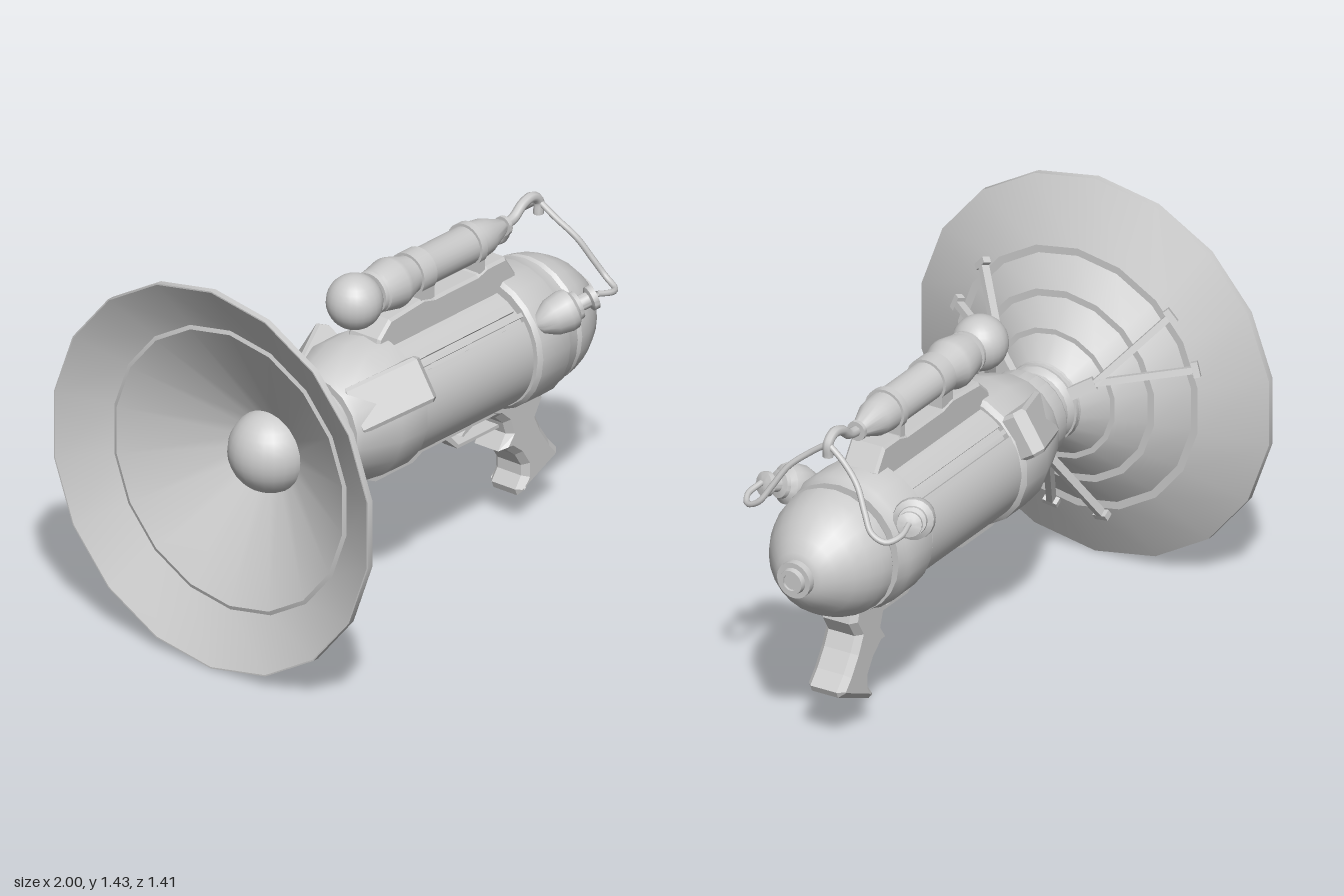
import * as THREE from 'three';
import { toCreasedNormals } from 'three/addons/utils/BufferGeometryUtils.js';

const AXIS = 0.717; // height of the main axis
const RAD = Math.PI / 180;
const mat = new THREE.MeshStandardMaterial({ color: 0xcccccc, side: THREE.DoubleSide });
const V = (x, y, z) => new THREE.Vector3(x, y, z);

function add(parent, name, geometry) {
  const mesh = new THREE.Mesh(geometry, mat);
  mesh.name = name;
  parent.add(mesh);
  return mesh;
}

// Solid of revolution about x; profile points are [x, radius]
function turned(profile, sides = 24, crease = 0.6) {
  const pts = profile.map(([x, r]) => new THREE.Vector2(r, x));
  const g = new THREE.LatheGeometry(pts, sides, Math.PI / 2).rotateZ(-Math.PI / 2);
  return toCreasedNormals(g, crease);
}

// Side outline in x and y, given a width across z and chamfered edges
function slab(points, width, bevel = 0) {
  const shape = new THREE.Shape(points.map(([x, y]) => new THREE.Vector2(x, y)));
  const depth = width - 2 * bevel;
  return new THREE.ExtrudeGeometry(shape, {
    depth, bevelEnabled: bevel > 0, bevelThickness: bevel, bevelSize: bevel, bevelOffset: -bevel, bevelSegments: 1,
  }).translate(0, 0, -depth / 2);
}

function hose(points, radius, segments = 40) {
  return new THREE.TubeGeometry(new THREE.CatmullRomCurve3(points), segments, radius, 8);
}

// Curved strip along x, between two angles measured from +z upwards
function arcStrip(from, to, inner, outer, length) {
  const s = new THREE.Shape();
  s.absarc(0, 0, outer, from * RAD, to * RAD, false);
  s.absarc(0, 0, inner, to * RAD, from * RAD, true);
  const g = new THREE.ExtrudeGeometry(s, { depth: length, bevelEnabled: false, curveSegments: 8 });
  return toCreasedNormals(g.rotateY(Math.PI / 2), 0.6);
}

// Bar with a square section between two points
function bar(a, b, width, height, up) {
  const g = new THREE.BoxGeometry(width, height, a.distanceTo(b));
  const z = b.clone().sub(a).normalize();
  const x = up.clone().cross(z).normalize();
  const m = new THREE.Matrix4().makeBasis(x, z.clone().cross(x), z);
  return g.applyMatrix4(m.setPosition(a.clone().add(b).multiplyScalar(0.5)));
}

function buildDish() {
  const dish = new THREE.Group();
  dish.name = 'dish';
  // Stepped outside, then back along the hollow inside
  add(dish, 'dishShell', turned([
    [-1, 0.712], [-1, 0.717], [-0.975, 0.717], [-0.862, 0.495], [-0.862, 0.467], [-0.787, 0.362], [-0.787, 0.336],
    [-0.717, 0.245], [-0.717, 0.225], [-0.635, 0.13], [-0.635, 0],
    [-0.67, 0], [-0.68, 0.12], [-0.9, 0.515], [-0.895, 0.53], [-1, 0.712],
  ], 18, 0.4));
  add(dish, 'emitterBall', new THREE.SphereGeometry(0.15, 24, 16).translate(-0.68, 0, 0));
  // Three forked struts on the back of the dish
  for (const centre of [30, 150, 270]) {
    const dir = V(0, Math.sin(centre * RAD), Math.cos(centre * RAD));
    const across = V(0, dir.z, -dir.y);
    const up = dir.clone().multiplyScalar(0.5).setX(0.85);
    const at = (x, r, offset) => V(x, 0, 0).addScaledVector(dir, r).addScaledVector(across, offset);
    const fork = at(-0.67, 0.22, 0);
    add(dish, 'strutStem', bar(at(-0.625, 0.135, 0), fork, 0.045, 0.03, up));
    for (const side of [-1, 1]) {
      const end = at(-0.85, 0.49, side * 0.1);
      add(dish, 'dishStrut', bar(fork, end, 0.024, 0.03, up));
      add(dish, 'strutFoot', bar(end, at(-0.862, 0.51, side * 0.105), 0.055, 0.03, up));
    }
  }
  return dish;
}

function buildBody() {
  const body = new THREE.Group();
  body.name = 'body';
  add(body, 'neck', turned([
    [-0.645, 0], [-0.645, 0.145], [-0.625, 0.145], [-0.62, 0.125], [-0.545, 0.125], [-0.545, 0.155],
    [-0.53, 0.165], [-0.44, 0.165], [-0.44, 0],
  ]));
  add(body, 'neckCollar', turned([[-0.55, 0.1], [-0.55, 0.135], [-0.535, 0.135], [-0.535, 0.1]]));
  add(body, 'frontHousing', turned([
    [-0.445, 0], [-0.44, 0.19], [-0.42, 0.2], [-0.27, 0.252], [-0.135, 0.253], [-0.12, 0.235], [-0.12, 0],
  ], 18));
  add(body, 'barrelCore', turned([[-0.13, 0.21], [0.49, 0.21]]));
  // Curved cover plates, the upper one sunk, with a slim rib in each gap
  for (const [from, to, outer] of [[-54, 36, 0.235], [48, 132, 0.222], [144, 234, 0.235], [246, 294, 0.235]]) {
    add(body, 'coverPlate', arcStrip(from, to, 0.2, outer, 0.575).translate(-0.125, 0, 0));
  }
  for (const deg of [42, 138, 240, 300]) {
    add(body, 'barrelRib', arcStrip(deg - 2, deg + 2, 0.2, 0.23, 0.6).translate(-0.125, 0, 0));
  }
  add(body, 'rearRing', turned([
    [0.465, 0.2], [0.465, 0.24], [0.48, 0.253], [0.62, 0.255], [0.635, 0.247], [0.68, 0.24], [0.68, 0.205], [0.71, 0.205],
  ]));
  add(body, 'noseDome', turned([
    [0.695, 0], [0.695, 0.225], [0.71, 0.235], [0.76, 0.226], [0.81, 0.205], [0.86, 0.175],
    [0.91, 0.13], [0.945, 0.09], [0.955, 0.06], [0.955, 0],
  ]));
  add(body, 'noseKnob', turned([
    [0.94, 0], [0.95, 0.067], [0.98, 0.067], [0.98, 0.048], [1, 0.045], [1, 0.03], [0.99, 0.03], [0.99, 0],
  ]));
  // Wedge fins on the shoulders of the front housing
  for (const side of [-1, 1]) {
    const wedge = slab([[-0.42, 0.14], [-0.42, 0.19], [-0.165, 0.312], [-0.125, 0.285], [-0.125, 0.14]], 0.17, 0.012);
    add(body, 'shoulderFin', wedge).rotation.x = side * 58 * RAD;
  }
  return body;
}

function buildScope() {
  const scope = new THREE.Group();
  scope.name = 'scope';
  add(scope, 'scopeBall', new THREE.SphereGeometry(0.1, 24, 16).translate(-0.23, 0, 0));
  add(scope, 'scopeTube', turned([
    [-0.15, 0], [-0.15, 0.075], [-0.135, 0.078], [-0.13, 0.065], [-0.12, 0.078], [-0.04, 0.093], [-0.02, 0.09],
    [0.04, 0.07], [0.41, 0.07], [0.46, 0.064], [0.55, 0.03], [0.56, 0.025], [0.56, 0.036], [0.575, 0.036], [0.575, 0],
  ]));
  // Clamps that hold the tube to the rail
  for (const [x, w] of [[0.085, 0.07], [0.375, 0.03]]) {
    add(scope, 'clampBand', turned([
      [x - w / 2, 0.06], [x - w / 2, 0.08], [x + w / 2, 0.08], [x + w / 2, 0.06],
    ]));
    add(scope, 'clampPost', new THREE.BoxGeometry(w, 0.1, 0.13).translate(x, -0.04, 0));
  }
  return scope;
}

// Pod and hose on one side; side is 1 for +z and -1 for -z
function buildPod(side) {
  const group = new THREE.Group();
  group.name = 'sidePod';
  const pod = add(group, 'podShell', turned([
    [0, 0], [0.03, 0.037], [0.08, 0.066], [0.13, 0.075], [0.155, 0.072], [0.17, 0.052], [0.185, 0.05],
    [0.19, 0.028], [0.225, 0.028], [0.23, 0.044], [0.25, 0.044], [0.255, 0.025], [0.26, 0],
  ], 18));
  const dir = V(0.23, 0.07, side * 0.1).normalize();
  pod.position.set(0.48, 0.825, side * 0.2);
  pod.quaternion.setFromUnitVectors(V(1, 0, 0), dir);
  const path = [
    [0.755, 1.15, 0], [0.765, 1.1, 0.07], [0.79, 1.04, 0.14], [0.82, 0.96, 0.19], [0.84, 0.9, 0.23],
    [0.83, 0.875, 0.28], [0.78, 0.885, 0.31], [0.71, 0.9, 0.3],
  ];
  add(group, 'podHose', hose(path.map(([x, y, z]) => V(x, y, z * side)), 0.011));
  return group;
}

function buildGrip() {
  const grip = new THREE.Group();
  grip.name = 'handle';
  add(grip, 'grip', slab([
    [0.39, 0.5], [0.4, 0.468], [0.46, 0.445], [0.5, 0.41], [0.515, 0.365], [0.476, 0.31], [0.52, 0.3], [0.565, 0.265],
    [0.598, 0.215], [0.598, 0.175], [0.567, 0.132], [0.577, 0.107], [0.775, 0.192], [0.786, 0.216],
    [0.74, 0.265], [0.695, 0.33], [0.668, 0.385], [0.705, 0.445], [0.69, 0.5],
  ], 0.15, 0.022));
  add(grip, 'lowerRail', slab([
    [-0.28, 0.5], [-0.25, 0.468], [-0.2, 0.445], [0, 0.445], [0.05, 0.467], [0.45, 0.467], [0.45, 0.5],
  ], 0.14));
  add(grip, 'triggerGuard', slab([
    [0.18, 0.475], [0.285, 0.383], [0.51, 0.383], [0.51, 0.395], [0.292, 0.395], [0.215, 0.475],
  ], 0.06));
  add(grip, 'trigger', slab([
    [0.37, 0.48], [0.37, 0.445], [0.325, 0.41], [0.335, 0.405], [0.39, 0.43], [0.41, 0.48],
  ], 0.03));
  return grip;
}

export function createModel() {
  const model = new THREE.Group();
  model.name = 'dishBlaster';
  for (const part of [buildDish(), buildBody()]) {
    part.position.y = AXIS;
    model.add(part);
  }
  // Saddle rail under the scope
  add(model, 'topRail', slab([
    [-0.2, 0.9], [-0.18, 0.975], [-0.12, 1.03], [0.06, 1.045], [0.12, 1.03], [0.35, 1.03], [0.4, 1.045],
    [0.5, 1.045], [0.555, 0.965], [0.555, 0.9],
  ], 0.14, 0.01));
  const scope = buildScope();
  scope.position.y = 1.12;
  model.add(scope, buildPod(1), buildPod(-1), buildGrip());
  add(model, 'mainHose', hose([
    V(0.56, 1.12, 0), V(0.62, 1.13, 0), V(0.67, 1.165, 0), V(0.72, 1.175, 0), V(0.755, 1.15, 0), V(0.755, 1.1, 0),
  ], 0.019));
  return model;
}
